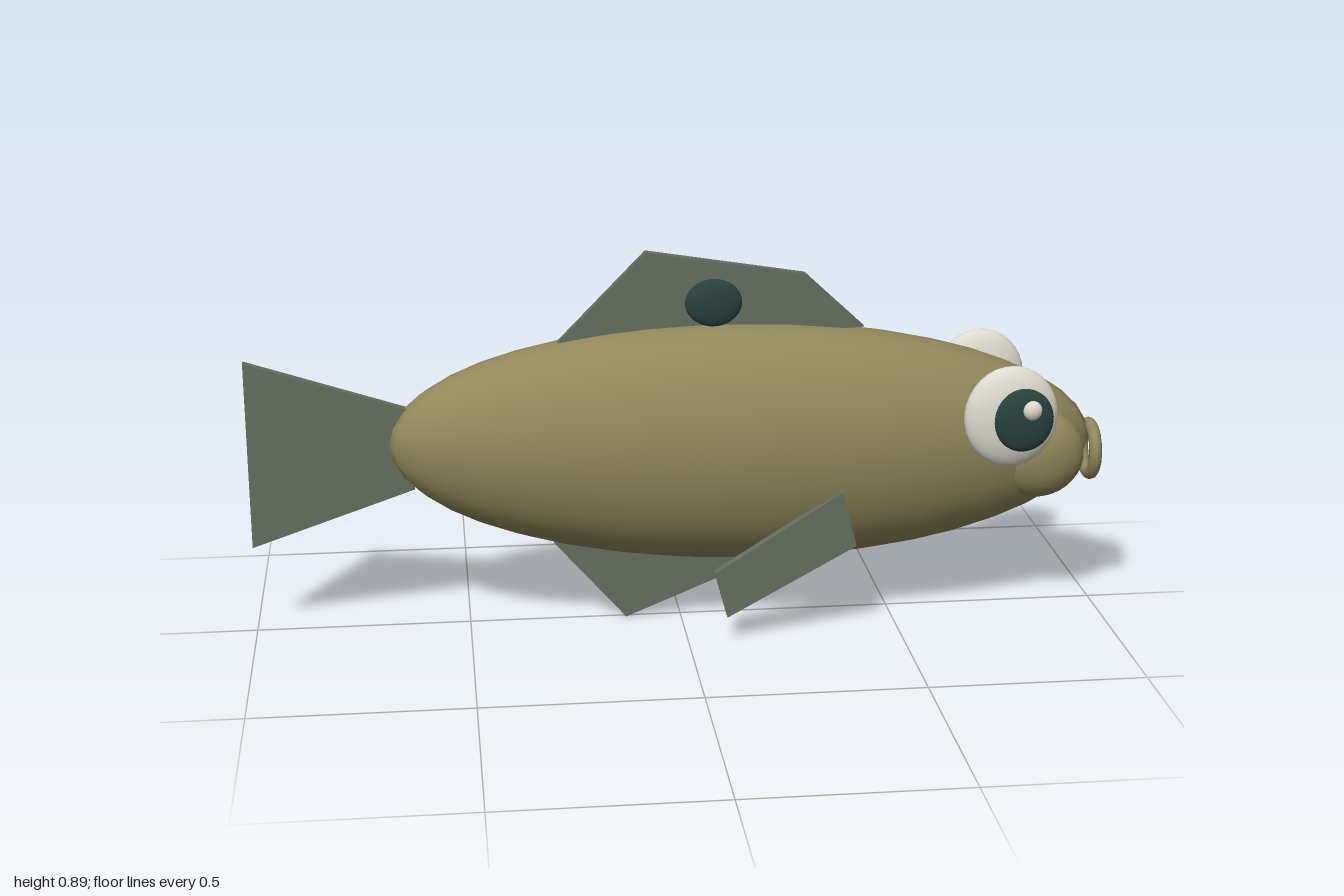
import * as THREE from 'three';

export function createModel() {
  const fish = new THREE.Group();
  fish.name = 'fish';

  const material = (name, color) => {
    const m = new THREE.MeshStandardMaterial({ color });
    m.name = name;
    return m;
  };
  const olive = material('olive skin', 0x91875a);
  const finGreen = material('grey green fin', 0x667060);
  const white = material('eye white', 0xdedace);
  const dark = material('dark teal', 0x29423f);

  const add = (name, geometry, mat, x, y, z) => {
    const mesh = new THREE.Mesh(geometry, mat);
    mesh.name = name;
    mesh.position.set(x, y, z);
    fish.add(mesh);
    return mesh;
  };

  // Ellipsoid with the given centre and radii
  const ellipsoid = (name, mat, [x, y, z], [rx, ry, rz], segments = 24) =>
    add(name, new THREE.SphereGeometry(1, segments, Math.ceil(segments * 0.67)).scale(rx, ry, rz), mat, x, y, z);

  // Flat plate fin cut from an outline and centred on z
  const fin = (name, outline, z = 0, depth = 0.022) => {
    const shape = new THREE.Shape(outline.map(([x, y]) => new THREE.Vector2(x, y)));
    const geometry = new THREE.ExtrudeGeometry(shape, { depth, bevelEnabled: false });
    return add(name, geometry.translate(0, 0, -depth / 2), finGreen, 0, 0, z);
  };

  // Body, tipped slightly nose down
  const body = ellipsoid('body', olive, [0.15, 0.43, 0], [0.83, 0.285, 0.195], 32);
  body.rotation.z = -0.025;

  // Ring mouth
  const mouth = add('mouth', new THREE.TorusGeometry(0.06, 0.015, 10, 24), olive, 0.984, 0.38, 0);
  mouth.rotation.y = Math.PI / 2;

  // Cheeks and layered eyes on both sides
  for (const s of [1, -1]) {
    const side = s > 0 ? 'Left' : 'Right';
    ellipsoid('cheek' + side, olive, [0.84, 0.395, s * 0.073], [0.11, 0.105, 0.065]);
    ellipsoid('eye' + side, white, [0.748, 0.518, s * 0.163], [0.11, 0.12, 0.04]);
    ellipsoid('pupil' + side, dark, [0.77, 0.518, s * 0.196], [0.07, 0.075, 0.02]);
    ellipsoid('eyeGlint' + side, white, [0.785, 0.546, s * 0.215], [0.022, 0.023, 0.014], 16);
  }

  // Fins along the centre line
  fin('tailFin', [[-1, 0.21], [-0.62, 0.34], [-0.62, 0.53], [-1, 0.655]]);
  fin('dorsalFin', [[-0.3, 0.665], [0.43, 0.7], [0.29, 0.83], [-0.08, 0.89]]);
  fin('bellyFin', [[-0.3, 0.195], [-0.13, 0], [0.1, 0.095], [0.2, 0.17]]);

  // Paired fins hanging at the flanks
  const flank = [[0.09, 0.06], [0.39, 0.225], [0.355, 0.357], [0.06, 0.17]];
  fin('sideFinLeft', flank, 0.18);
  fin('sideFinRight', flank, -0.157);

  // Dark spot on the left face of the dorsal fin
  ellipsoid('dorsalSpot', dark, [0.075, 0.771, 0.024], [0.066, 0.056, 0.018]);

  return fish;
}
